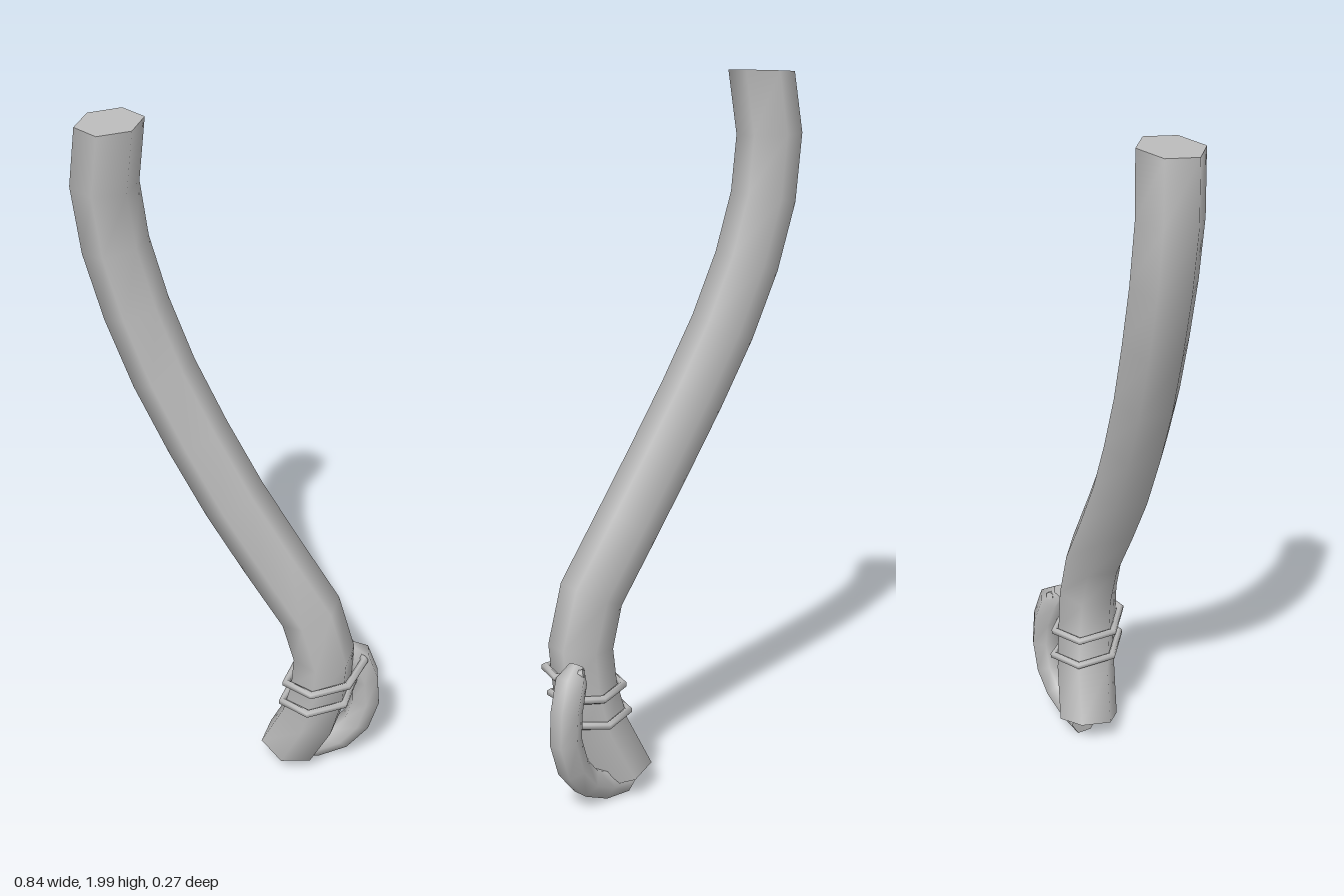
import * as THREE from 'three';

const V = (p) => new THREE.Vector3(...p);

// Sweeps a regular polygon along points; sides are smooth, end caps flat.
function sweep(points, radius, ref, sides = 6, startDir, endDir) {
  const pts = points.map(V), refV = V(ref).normalize();
  const n = pts.length, pos = [], idx = [];
  pts.forEach((p, i) => {
    let t = pts[Math.min(i + 1, n - 1)].clone().sub(pts[Math.max(i - 1, 0)]);
    if (i === 0 && startDir) t = V(startDir);
    if (i === n - 1 && endDir) t = V(endDir);
    t.normalize();
    const side = refV.clone().cross(t).normalize();
    const up = t.clone().cross(side);
    const r = typeof radius === 'function' ? radius(i) : radius;
    for (let j = 0; j < sides; j++) {
      const a = (j / sides) * Math.PI * 2;
      const v = p.clone().addScaledVector(up, Math.cos(a) * r).addScaledVector(side, Math.sin(a) * r);
      pos.push(v.x, v.y, v.z);
    }
  });
  for (let i = 0; i < n - 1; i++) {
    for (let j = 0; j < sides; j++) {
      const a = i * sides + j, b = i * sides + (j + 1) % sides;
      idx.push(a, a + sides, b, b, a + sides, b + sides);
    }
  }
  // caps use their own copies of the end rings
  for (const end of [0, n - 1]) {
    const base = pos.length / 3;
    pos.push(...pos.slice(end * sides * 3, (end + 1) * sides * 3));
    for (let j = 1; j < sides - 1; j++) {
      if (end === 0) idx.push(base, base + j, base + j + 1);
      else idx.push(base, base + j + 1, base + j);
    }
  }
  const g = new THREE.BufferGeometry();
  g.setAttribute('position', new THREE.Float32BufferAttribute(pos, 3));
  g.setIndex(idx);
  g.computeVertexNormals();
  return g;
}

export function createModel() {
  const group = new THREE.Group();
  group.name = 'boundShaft';
  const grey = new THREE.MeshStandardMaterial({ color: 0xbbbbbb });
  grey.name = 'plainGrey';
  const add = (name, geometry) => {
    const mesh = new THREE.Mesh(geometry, grey);
    mesh.name = name;
    group.add(mesh);
  };

  // long curved six-sided shaft, from the top down
  add('shaft', sweep([
    [-0.32, 1.99, 0.045], [-0.343, 1.82, 0.037], [-0.322, 1.65, 0.031], [-0.27, 1.475, 0.03],
    [-0.195, 1.295, 0.034], [-0.10, 1.115, 0.038], [0.005, 0.935, 0.04], [0.11, 0.77, 0.034],
    [0.228, 0.59, 0.025], [0.268, 0.445, 0.016], [0.26, 0.325, 0.008], [0.23, 0.2, -0.005],
    [0.163, 0.06, -0.018],
  ], 0.09, [0, 0, 1], 6, [0.06, -1, -0.06], [-0.25, -0.97, -0.08]));

  // curved hook beside the foot, with a narrowed upper tip
  add('hook', sweep([
    [0.318, 0.425, -0.058], [0.342, 0.39, -0.072], [0.366, 0.31, -0.088], [0.372, 0.225, -0.092],
    [0.348, 0.14, -0.086], [0.3, 0.08, -0.07], [0.235, 0.05, -0.05], [0.16, 0.046, -0.032],
  ], (i) => (i === 0 ? 0.022 : 0.045), [0.28, 0, 1]));

  // two turns of angular cord, ending on the hook
  const cord = [];
  for (let i = 0; i <= 12; i++) {
    const a = (-30 - i * 60) * Math.PI / 180;
    const y = 0.235 + (i / 12) * 0.155 + 0.008 * Math.cos(a);
    const cx = 0.243 + 0.15 * (y - 0.24), cz = 0.1 * (y - 0.24);
    const r = i === 0 ? 0.09 : 0.103 + (i === 12 ? 0.02 : 0);
    cord.push([cx + Math.cos(a) * r, y, cz + Math.sin(a) * r]);
  }
  cord.push([0.315, 0.415, -0.093]);
  add('cordBinding', sweep(cord, 0.012, [0, 1, 0]));

  return group;
}
